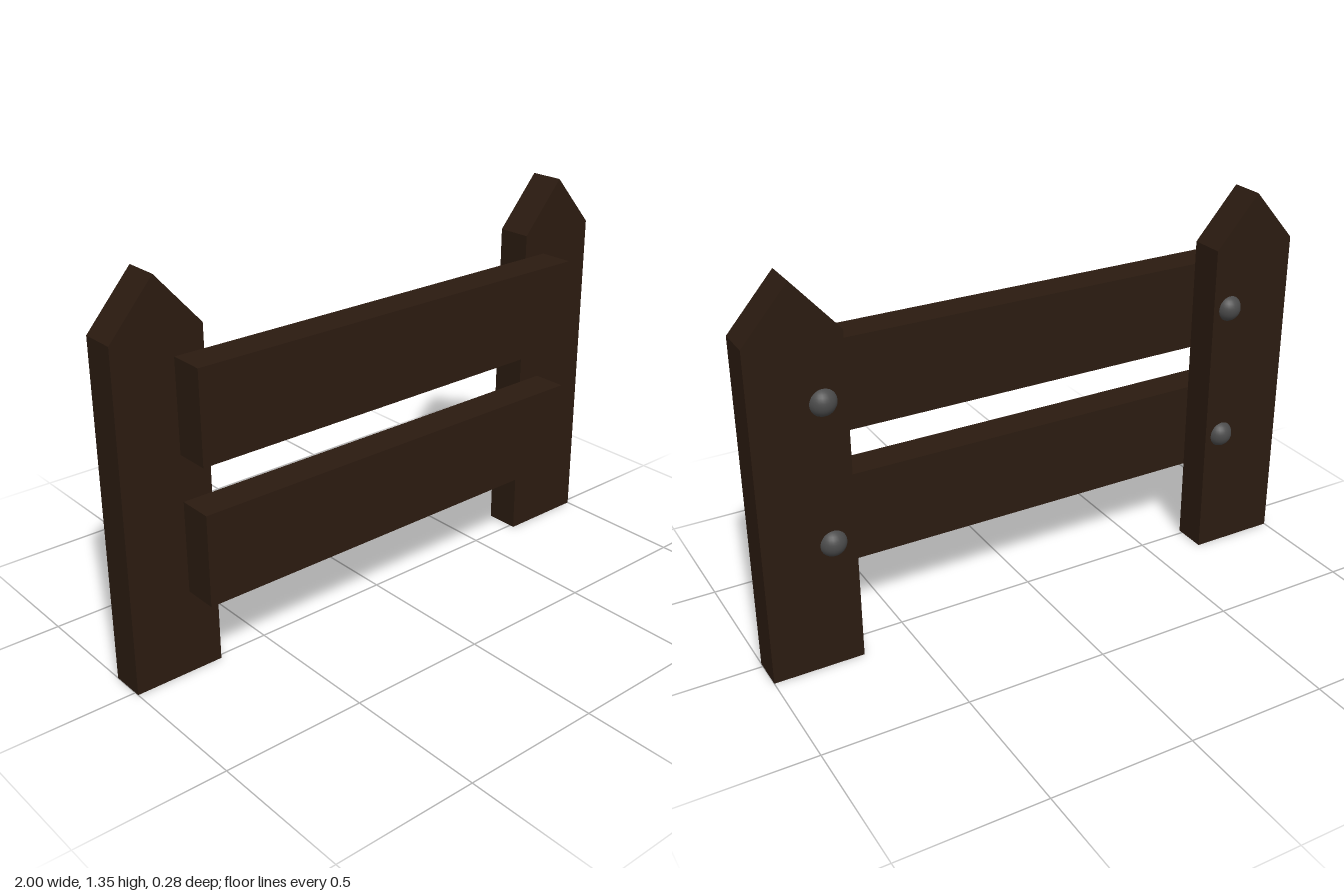
import * as THREE from 'three';

const wood = new THREE.MeshStandardMaterial({ color: 0x2b1b10 });
const iron = new THREE.MeshStandardMaterial({ color: 0x4a4a4a });

const POST = { width: 0.315, shoulder: 1.167, peak: 1.347, back: -0.105, depth: 0.122 };
const RAIL = { width: 1.567, height: 0.316, depth: 0.122, x: -0.006 };

// Upright plank with a pointed top, extruded front to back
function makePost(name, x) {
  const h = POST.width / 2;
  const outline = new THREE.Shape([
    new THREE.Vector2(-h, 0),
    new THREE.Vector2(h, 0),
    new THREE.Vector2(h, POST.shoulder),
    new THREE.Vector2(0, POST.peak),
    new THREE.Vector2(-h, POST.shoulder),
  ]);
  const geometry = new THREE.ExtrudeGeometry(outline, { depth: POST.depth, bevelEnabled: false });
  const post = new THREE.Mesh(geometry, wood);
  post.name = name;
  post.position.set(x, 0, POST.back);
  return post;
}

// Horizontal board fixed to the front of the posts
function makeRail(name, y) {
  const rail = new THREE.Mesh(new THREE.BoxGeometry(RAIL.width, RAIL.height, RAIL.depth), wood);
  rail.name = name;
  rail.position.set(RAIL.x, y, POST.back + POST.depth + RAIL.depth / 2);
  return rail;
}

// Round bolt head, partly sunk into the back of a post
function makeBolt(name, x, y) {
  const bolt = new THREE.Mesh(new THREE.SphereGeometry(0.048, 24, 16), iron);
  bolt.name = name;
  bolt.position.set(x, y, -0.09);
  return bolt;
}

export function createModel() {
  const fence = new THREE.Group();
  fence.name = 'fence';

  const sides = [
    { side: 'left', postX: 0.8425, boltX: 0.763 },
    { side: 'right', postX: -0.8425, boltX: -0.753 },
  ];
  const rows = [
    { row: 'Lower', railY: 0.452, boltY: 0.455 },
    { row: 'Upper', railY: 0.927, boltY: 0.946 },
  ];

  for (const { row, railY } of rows) fence.add(makeRail(`rail${row}`, railY));
  for (const { side, postX, boltX } of sides) {
    fence.add(makePost(`${side}Post`, postX));
    for (const { row, boltY } of rows) fence.add(makeBolt(`${side}${row}Bolt`, boltX, boltY));
  }
  return fence;
}
